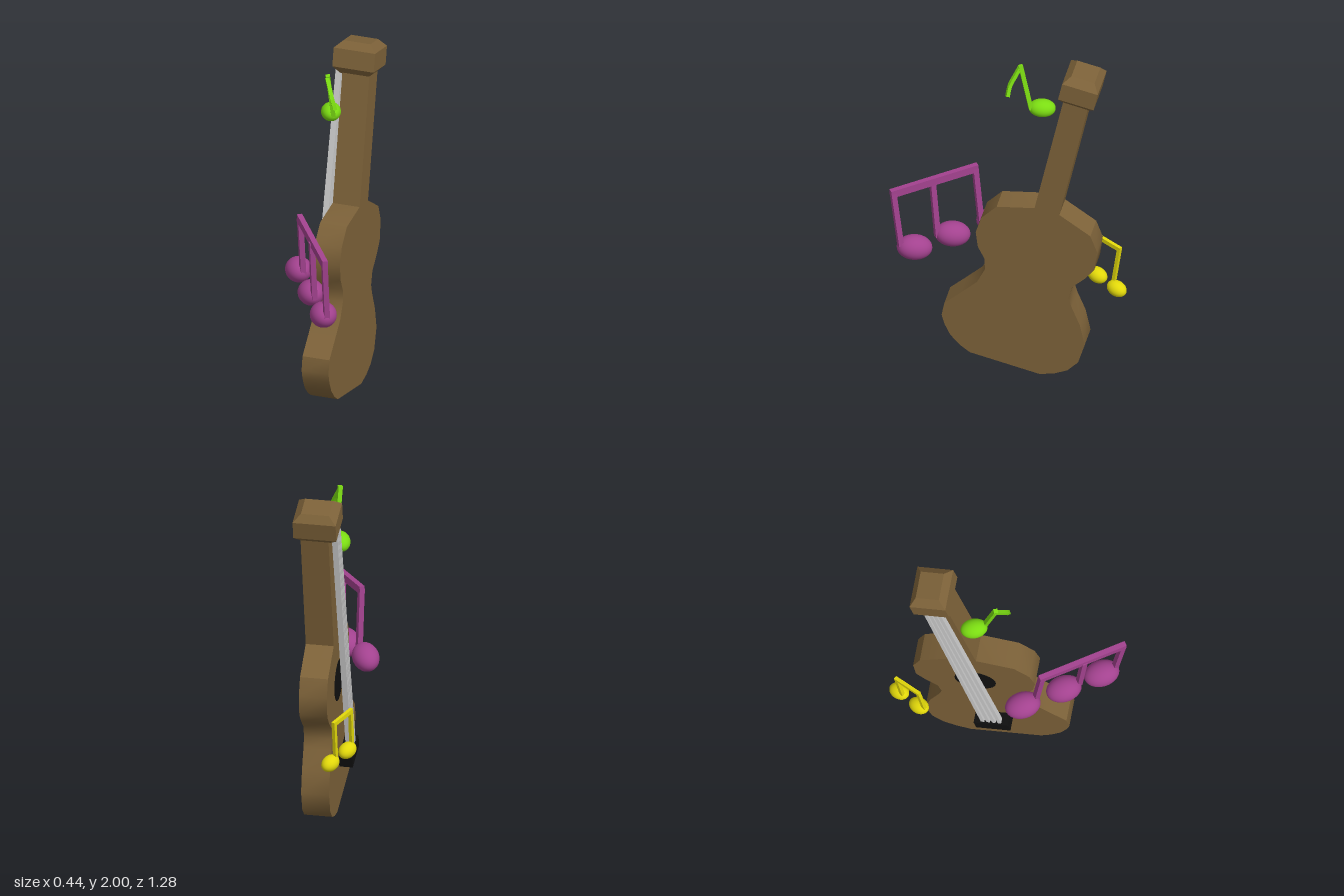
import * as THREE from 'three';
import { toCreasedNormals } from 'three/addons/utils/BufferGeometryUtils.js';

const paint = (color) => new THREE.MeshStandardMaterial({ color });
const V = (x, y, z) => new THREE.Vector3(x, y, z);
const TILT = -0.219; // lean of the neck axis

function add(parent, name, geometry, material) {
  const mesh = new THREE.Mesh(geometry, material);
  mesh.name = name;
  parent.add(mesh);
  return mesh;
}

// Bar from a to b; 'up' sets the direction of its height
function bar(parent, name, a, b, width, height, up, material) {
  const mesh = add(parent, name, new THREE.BoxGeometry(width, height, a.distanceTo(b)), material);
  mesh.position.copy(a).lerp(b, 0.5);
  mesh.up.copy(up);
  mesh.lookAt(b);
  return mesh;
}

// Egg-shaped note head with its long axis along 'axis'
function noteHead(parent, center, radii, axis, material) {
  const mesh = add(parent, 'noteHead', new THREE.SphereGeometry(1, 32, 20), material);
  mesh.position.copy(center);
  mesh.lookAt(center.clone().add(axis));
  mesh.scale.copy(radii);
}

// Point on the neck axis at height y
const onAxis = (x, y) => V(x, y, -0.23 - (y - 1.09) * 0.222);

function extrudeSide(points, x0, x1) {
  const shape = new THREE.Shape(points.map(([z, y]) => new THREE.Vector2(-z, y)));
  const g = new THREE.ExtrudeGeometry(shape, { depth: x1 - x0, bevelEnabled: false });
  g.rotateY(Math.PI / 2).translate(x0, 0, 0);
  return toCreasedNormals(g, 0.6);
}

function guitar() {
  const group = new THREE.Group();
  group.name = 'guitar';
  const wood = paint(0x7d6239), black = paint(0x101010), steel = paint(0xcccccc);

  // Waisted body, outline given as z, y
  const outline = [
    [-0.16, 1.10], [0.05, 1.08], [0.135, 0.995], [0.167, 0.895], [0.155, 0.80], [0.118, 0.725], [0.115, 0.655],
    [0.16, 0.565], [0.247, 0.485], [0.342, 0.40], [0.358, 0.32], [0.342, 0.262], [0.31, 0.195],
    [0.257, 0.135], [0.2, 0.093], [-0.19, 0.003], [-0.273, 0.018], [-0.347, 0.05], [-0.406, 0.11],
    [-0.443, 0.23], [-0.416, 0.358], [-0.37, 0.47], [-0.353, 0.53], [-0.374, 0.607], [-0.443, 0.67],
    [-0.496, 0.735], [-0.512, 0.857], [-0.475, 0.957], [-0.30, 1.075],
  ];
  add(group, 'body', extrudeSide(outline, -0.042, 0.114), wood);
  add(group, 'neck', extrudeSide([[-0.16, 1.09], [-0.298, 1.06], [-0.461, 1.80], [-0.323, 1.83]], -0.042, 0.114), wood);

  // Head block with bevelled top and bottom
  const profile = [[0, -0.187], [0.08, -0.187], [0.12, -0.147], [0.12, -0.04], [0.078, 0], [0, 0]]
    .map(([r, y]) => new THREE.Vector2(r * Math.SQRT2, y));
  const block = new THREE.LatheGeometry(profile, 4).rotateY(Math.PI / 4).scale(1, 1, 0.85);
  const head = add(group, 'headstock', toCreasedNormals(block, 0.3), wood);
  head.position.set(0.027, 1.985, -0.432);
  head.rotation.x = TILT;

  // Sound hole and bridge on the face
  const hole = add(group, 'soundHole', new THREE.CylinderGeometry(0.115, 0.115, 0.006, 24), black);
  hole.rotation.z = Math.PI / 2;
  hole.position.copy(onAxis(-0.043, 0.8));
  const bridge = add(group, 'bridge', new THREE.BoxGeometry(0.075, 0.07, 0.195), black);
  bridge.position.copy(onAxis(-0.082, 0.315));
  bridge.rotation.x = TILT;

  // Strings, closing up slightly toward the head
  const across = V(0, 0.217, 0.976);
  for (let i = 0; i < 4; i++) {
    const s = i - 1.5;
    const low = onAxis(-0.094, 0.34).addScaledVector(across, s * 0.032);
    const high = onAxis(-0.072, 1.84).addScaledVector(across, s * 0.026);
    bar(group, 'string', low, high, 0.02, 0.032, V(1, 0, 0), steel);
  }
  return group;
}

// Notes joined by a beam; each note is [head, stem foot, stem top]
function beamedNotes(name, notes, radii, axis, thick, beamHeight, color) {
  const group = new THREE.Group();
  group.name = name;
  const material = paint(color);
  const first = notes[0][2], last = notes[notes.length - 1][2];
  const along = last.clone().sub(first).normalize();
  for (const [center, foot, top] of notes) {
    noteHead(group, center, radii, axis, material);
    bar(group, 'stem', foot, top, thick, thick, along, material);
  }
  bar(group, 'beam', first.clone().addScaledVector(along, -thick / 2),
    last.clone().addScaledVector(along, thick / 2), thick, beamHeight, V(0, 1, 0), material);
  return group;
}

function flaggedNote() {
  const group = new THREE.Group();
  group.name = 'greenNote';
  const green = paint(0x7bdc12);
  noteHead(group, V(-0.055, 1.655, -0.17), V(0.055, 0.05, 0.075), V(0.3, 0.12, 0.9), green);
  bar(group, 'stem', V(-0.022, 1.66, -0.115), V(-0.033, 1.935, -0.053), 0.024, 0.024, V(0.4, 0, 0.9), green);
  // Curved flag
  const curve = new THREE.CatmullRomCurve3([
    V(-0.035, 1.92, -0.05), V(-0.012, 1.87, -0.025), V(0.01, 1.82, -0.002), V(0.03, 1.765, 0.006)]);
  const pts = curve.getPoints(6);
  for (let i = 0; i < 6; i++) {
    const dir = pts[i + 1].clone().sub(pts[i]).multiplyScalar(0.1);
    bar(group, 'flag', pts[i].clone().sub(dir), pts[i + 1].clone().add(dir), 0.022, 0.02, V(0.5, 0, 0.85), green);
  }
  return group;
}

export function createModel() {
  const model = new THREE.Group();
  model.name = 'guitarWithNotes';
  model.add(guitar(), flaggedNote());
  model.add(beamedNotes('purpleNotes', [
    [V(-0.143, 0.81, 0.118), V(-0.095, 0.81, 0.18), V(-0.1, 1.172, 0.215)],
    [V(0, 0.788, 0.32), V(0.045, 0.79, 0.395), V(0.04, 1.152, 0.425)],
    [V(0.135, 0.763, 0.505), V(0.178, 0.77, 0.57), V(0.18, 1.135, 0.615)],
  ], V(0.074, 0.07, 0.1), V(0.4, 0.17, 0.85), 0.03, 0.045, 0xa3428f));
  model.add(beamedNotes('yellowNotes', [
    [V(-0.147, 0.525, -0.46), V(-0.165, 0.54, -0.425), V(-0.165, 0.768, -0.46)],
    [V(-0.075, 0.5, -0.583), V(-0.1, 0.52, -0.56), V(-0.098, 0.748, -0.593)],
  ], V(0.045, 0.043, 0.06), V(-0.4, 0.2, 0.85), 0.02, 0.025, 0xe2d80a));
  return model;
}
